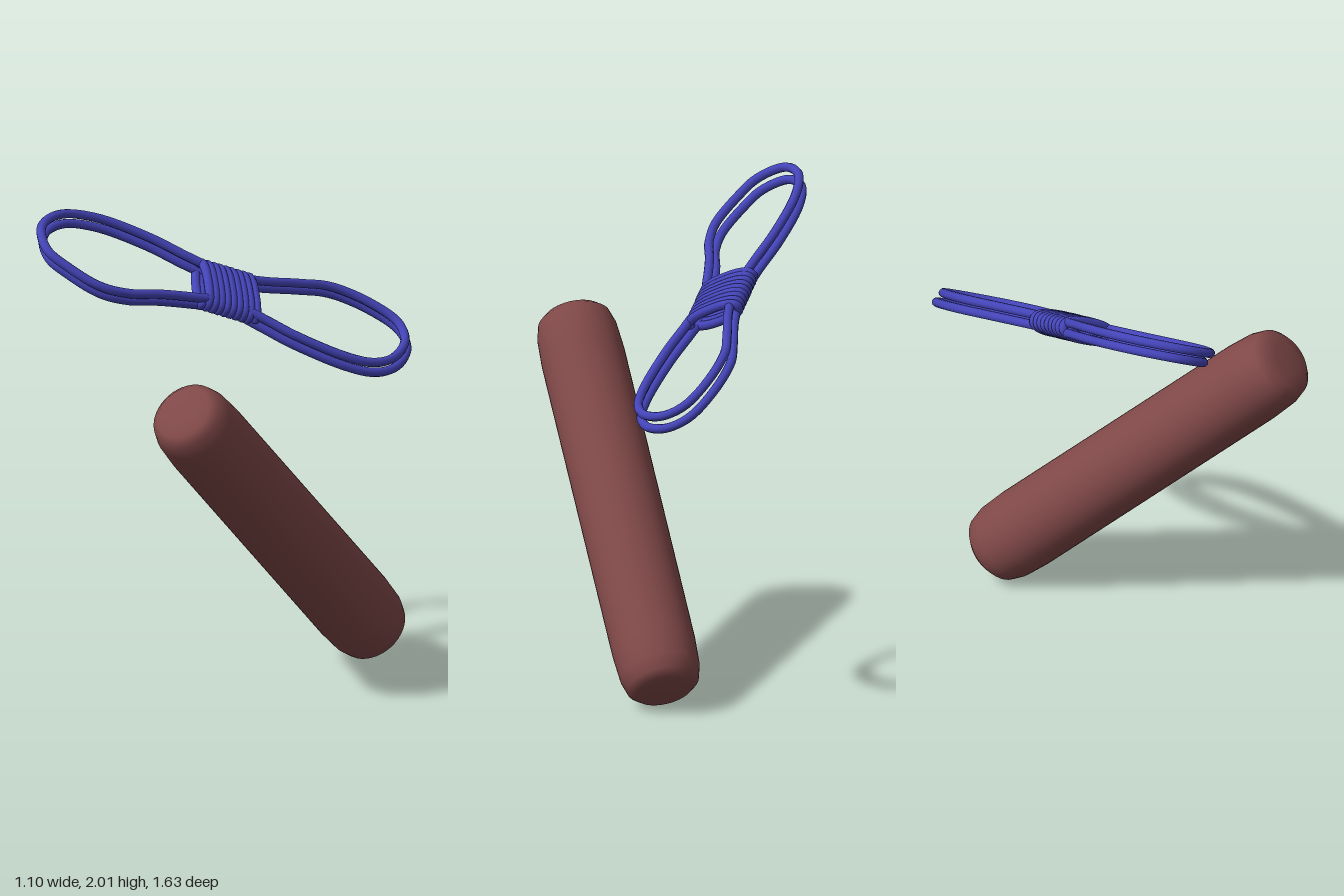
import * as THREE from 'three';

const ROPE_RADIUS = 0.0195;
const ropeMaterial = new THREE.MeshStandardMaterial({ color: 0x4444b8 });
const woodMaterial = new THREE.MeshStandardMaterial({ color: 0x804848 });

// The hank lies in one tilted plane: y falls as x grows
const SLOPE = -0.7;
const planeY = (x) => 1.6 + SLOPE * x;
const planeNormal = new THREE.Vector3(-SLOPE, 1, 0).normalize();
const hankCentre = new THREE.Vector3(-0.03, planeY(-0.03), -0.08);

function ropeAlong(points, closed, segments, name) {
  const curve = new THREE.CatmullRomCurve3(points, closed, 'centripetal');
  const mesh = new THREE.Mesh(new THREE.TubeGeometry(curve, segments, ROPE_RADIUS, 10, closed), ropeMaterial);
  mesh.name = name;
  return mesh;
}

// Centre line of the two loops, as x, z pairs
const LOOP_PATH = [
  [-0.08, -0.14], [-0.19, -0.03], [-0.32, 0.08], [-0.46, 0.25], [-0.52, 0.41], [-0.5, 0.56],
  [-0.41, 0.635], [-0.32, 0.61], [-0.21, 0.54], [-0.145, 0.43], [-0.1, 0.28], [-0.04, 0.12],
  [0.02, -0.02], [0.13, -0.115], [0.24, -0.2], [0.39, -0.36], [0.45, -0.47], [0.46, -0.6],
  [0.41, -0.74], [0.335, -0.785], [0.22, -0.73], [0.11, -0.61], [0.055, -0.47], [-0.01, -0.28],
];

// One of the two parallel strands; side is +1 or -1
function loopStrand(side) {
  const points = LOOP_PATH.map(([x, z]) => {
    const p = new THREE.Vector3(x, planeY(x), z).sub(hankCentre);
    const end = p.z > 0 ? 1 : -1;
    return p.multiplyScalar(1 + 0.018 * side * end).add(hankCentre).addScaledVector(planeNormal, 0.022 * side);
  });
  return ropeAlong(points, true, 220, side > 0 ? 'upperLoopStrand' : 'lowerLoopStrand');
}

// Flattened helix wound around the middle of the hank
function wrapCoil() {
  const turns = 9, steps = 24, length = 0.25, halfWidth = 0.122, halfThickness = 0.038;
  const axis = new THREE.Vector3(-0.15, 0.15 * -SLOPE, 0.22).normalize();
  const across = new THREE.Vector3().crossVectors(planeNormal, axis);
  const squarish = (v) => Math.sign(v) * Math.abs(v) ** 0.8;
  const points = [];
  for (let i = 0; i <= turns * steps; i++) {
    const a = (i / steps) * Math.PI * 2;
    points.push(hankCentre.clone()
      .addScaledVector(axis, length * (i / (turns * steps) - 0.5))
      .addScaledVector(across, halfWidth * squarish(Math.cos(a)))
      .addScaledVector(planeNormal, halfThickness * squarish(Math.sin(a))));
  }
  const group = new THREE.Group();
  group.name = 'wrapCoil';
  group.add(ropeAlong(points, false, 700, 'wrapTurns'));
  // Rounded rope ends
  for (const p of [points[0], points[points.length - 1]]) {
    const tip = new THREE.Mesh(new THREE.SphereGeometry(ROPE_RADIUS, 10, 8), ropeMaterial);
    tip.name = 'ropeEnd';
    tip.position.copy(p);
    group.add(tip);
  }
  return group;
}

// Leaning stick with softly rounded ends
function stick() {
  const half = [[0.177, 0], [0.177, 0.7], [0.17, 0.82], [0.153, 0.882], [0.122, 0.91], [0.07, 0.918], [0, 0.92]];
  const lower = half.slice(1).reverse().map(([r, y]) => new THREE.Vector2(r, -y));
  const profile = [...lower, ...half.map(([r, y]) => new THREE.Vector2(r, y))];
  const mesh = new THREE.Mesh(new THREE.LatheGeometry(profile, 40), woodMaterial);
  mesh.name = 'stick';
  mesh.position.set(0.375, 0.73, 0.073);
  mesh.rotation.x = 0.795;
  return mesh;
}

export function createModel() {
  const model = new THREE.Group();
  model.name = 'stickAndRopeHank';
  const hank = new THREE.Group();
  hank.name = 'ropeHank';
  hank.add(loopStrand(1), loopStrand(-1), wrapCoil());
  model.add(stick(), hank);
  return model;
}
